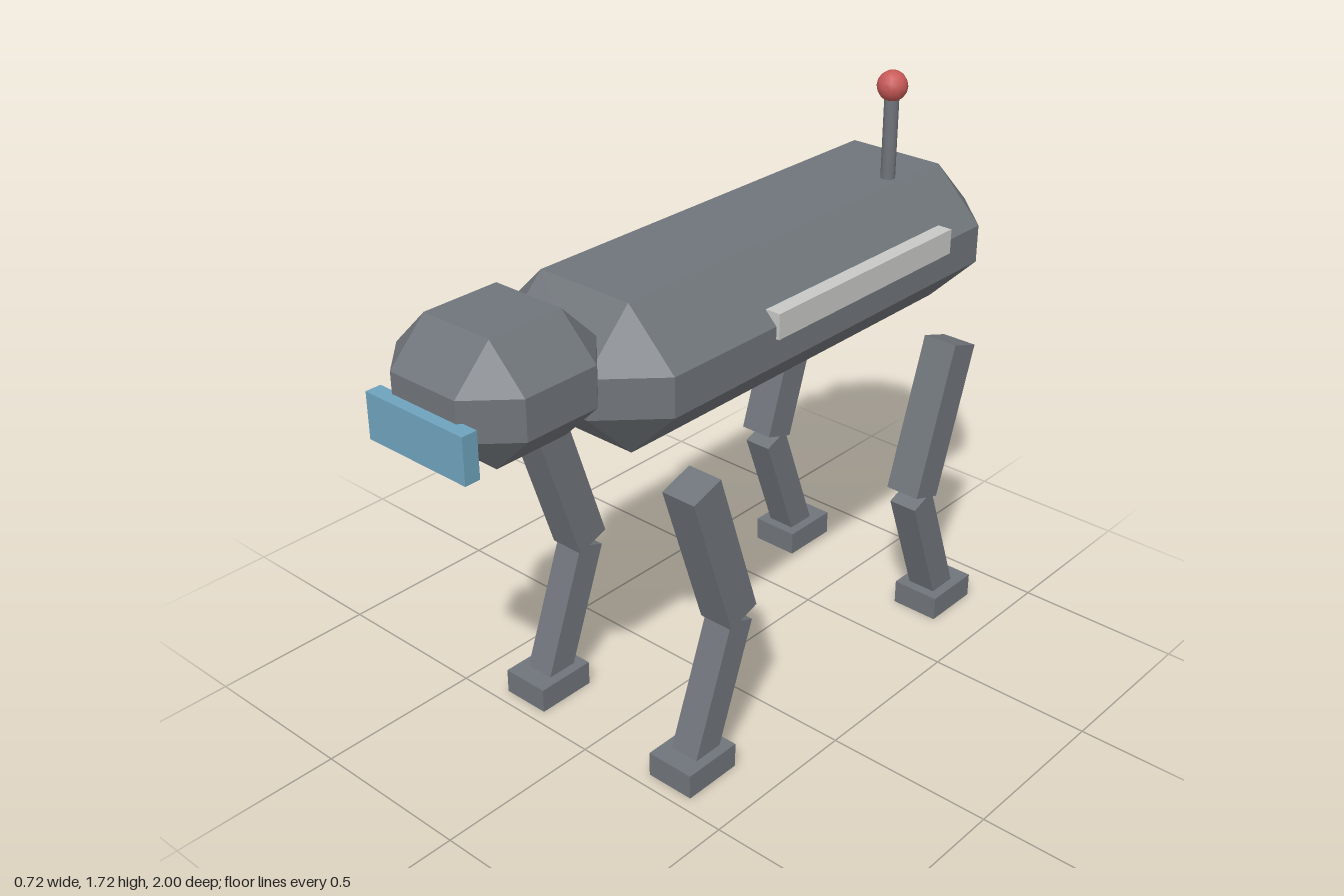
import * as THREE from 'three';
import { ConvexGeometry } from 'three/addons/geometries/ConvexGeometry.js';

const flat = (name, color) => {
  const m = new THREE.MeshStandardMaterial({ color });
  m.name = name;
  return m;
};

// Box with every edge cut at 45 degrees and triangular corners
function chamferedBox(w, h, d, c) {
  const points = [];
  const [x, y, z] = [w / 2, h / 2, d / 2];
  for (const sx of [-1, 1]) for (const sy of [-1, 1]) for (const sz of [-1, 1]) {
    points.push(
      new THREE.Vector3(sx * x, sy * (y - c), sz * (z - c)),
      new THREE.Vector3(sx * (x - c), sy * y, sz * (z - c)),
      new THREE.Vector3(sx * (x - c), sy * (y - c), sz * z));
  }
  return new ConvexGeometry(points);
}

export function createModel() {
  const grey = flat('bodyGrey', 0x70757b);
  const light = flat('stripGrey', 0xc8c8c6);
  const blue = flat('visorBlue', 0x6fa3bd);
  const red = flat('beaconRed', 0xc85a58);

  const model = new THREE.Group();
  model.name = 'robotQuadruped';

  const add = (name, geometry, material, x, y, z, parent = model) => {
    const mesh = new THREE.Mesh(geometry, material);
    mesh.name = name;
    mesh.position.set(x, y, z);
    parent.add(mesh);
    return mesh;
  };

  // Torso, head and visor
  add('torso', chamferedBox(0.606, 0.414, 1.594, 0.151), grey, 0, 1.197, -0.203);
  add('head', chamferedBox(0.45, 0.338, 0.454, 0.113), grey, 0, 1.272, 0.741);
  add('visor', new THREE.BoxGeometry(0.338, 0.128, 0.045), blue, 0, 1.205, 0.978);

  // Side strips
  for (const s of [-1, 1]) {
    add('sideStrip', new THREE.BoxGeometry(0.045, 0.073, 0.757), light, s * 0.29, 1.254, -0.317);
  }

  // Antenna with beacon
  add('antenna', new THREE.CylinderGeometry(0.021, 0.021, 0.29, 12), grey, 0.11, 1.525, -0.66);
  add('beacon', new THREE.SphereGeometry(0.044, 12, 8), red, 0.11, 1.672, -0.66);

  // Square bar between two [y, z] points
  const bar = (name, size, a, b, parent) => {
    const dy = a[0] - b[0], dz = a[1] - b[1];
    const mesh = add(name, new THREE.BoxGeometry(size, Math.hypot(dy, dz), size), grey,
      0, (a[0] + b[0]) / 2, (a[1] + b[1]) / 2, parent);
    mesh.rotation.x = Math.atan2(dz, dy);
  };

  // Legs: the rear pair bends the opposite way to the front pair
  for (const x of [-0.285, 0.285]) {
    for (const [name, dir] of [['frontLeg', 1], ['rearLeg', -1]]) {
      const leg = new THREE.Group();
      leg.name = name;
      leg.position.set(x, 0, dir > 0 ? 0.365 : -0.77);
      bar('upperLeg', 0.108, [0.911, 0], [0.459, dir * -0.148], leg);
      bar('lowerLeg', 0.09, [0.443, dir * -0.15], [0.045, dir * -0.002], leg);
      add('foot', new THREE.BoxGeometry(0.15, 0.075, 0.186), grey, 0, 0.0375, 0, leg);
      model.add(leg);
    }
  }
  return model;
}
